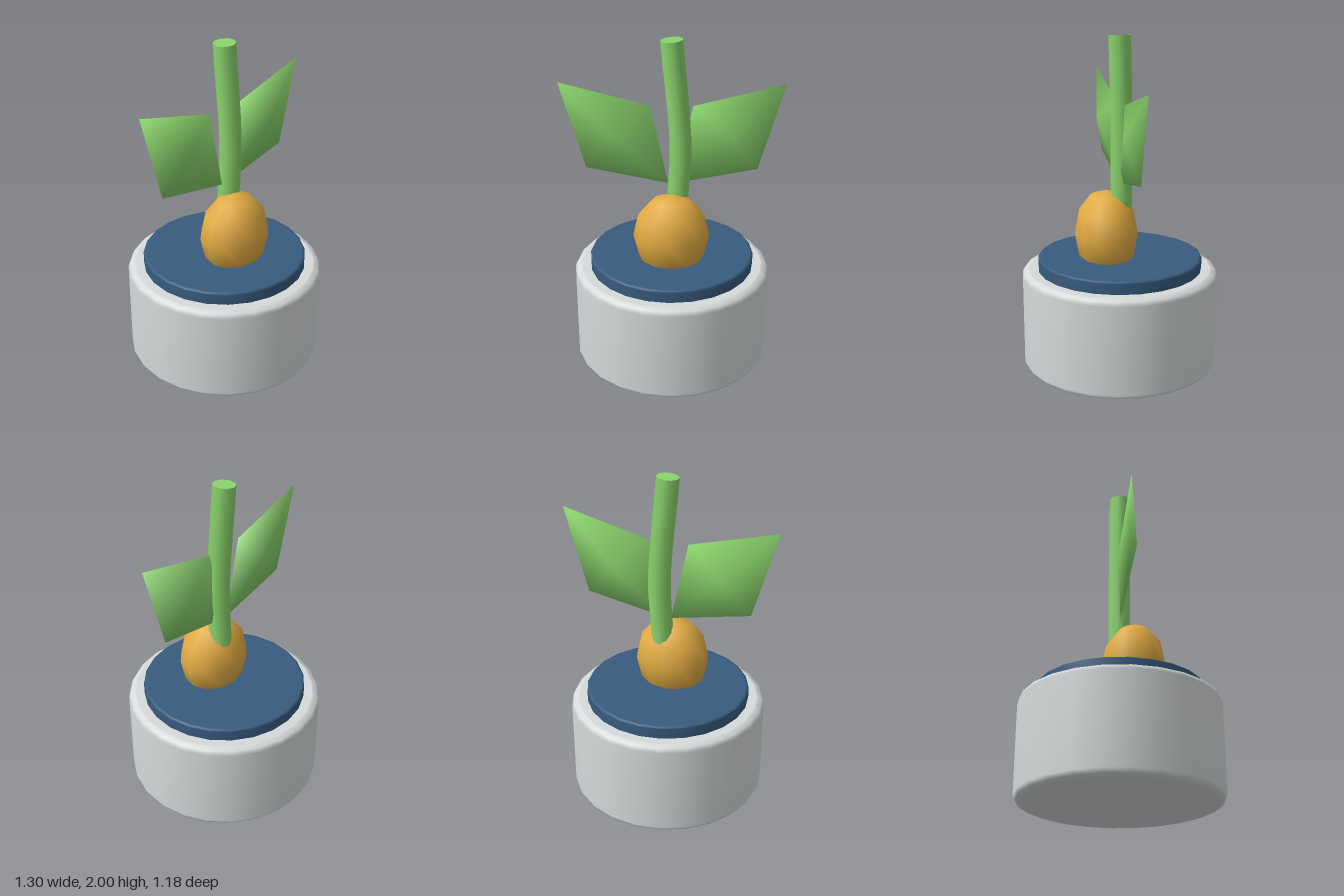
import * as THREE from 'three';

const mat = (name, color, side = THREE.FrontSide) => {
  const m = new THREE.MeshStandardMaterial({ color, side });
  m.name = name;
  return m;
};

// Turned disc with bevelled rims; repeated points keep the flat ends crisp
function bevelledDisc(radius, y0, y1, bevel) {
  const b = bevel * 0.85;
  const profile = [
    [0, y0], [radius - bevel, y0], [radius - bevel, y0],
    [radius - bevel * 0.3, y0 + b * 0.3], [radius, y0 + b],
    [radius, y1 - b], [radius - bevel * 0.3, y1 - b * 0.3],
    [radius - bevel, y1], [radius - bevel, y1], [0, y1],
  ].map(([x, y]) => new THREE.Vector2(x, y));
  return new THREE.LatheGeometry(profile, 24);
}

// Capped cylinder bent along a curve lying in the xy plane
function bentStem(radius, points) {
  const curve = new THREE.CatmullRomCurve3(points.map(([x, y]) => new THREE.Vector3(x, y, 0)));
  const geo = new THREE.CylinderGeometry(radius, radius, 1, 10, 8);
  const pos = geo.attributes.position;
  for (let i = 0; i < pos.count; i++) {
    const t = THREE.MathUtils.clamp(pos.getY(i) + 0.5, 0, 1);
    const p = curve.getPointAt(t);
    const d = curve.getTangentAt(t);
    const x = pos.getX(i);
    pos.setXY(i, p.x + d.y * x, p.y - d.x * x);
  }
  return geo;
}

// Four-cornered leaf with a raised point on the front and back
function leaf(side) {
  const corners = [[0.02, 1.13, 0], [0.503, 1.225, 0], [0.648, 1.745, 0], [0.123, 1.61, 0]];
  const peaks = [[0.35, 1.46, 0.064], [0.33, 1.42, -0.042]];
  const verts = [...corners, ...peaks].flatMap(([x, y, z]) => [x * side, y, z]);
  const index = [];
  for (let i = 0; i < 4; i++) {
    const a = side > 0 ? i : (i + 1) % 4;
    const b = side > 0 ? (i + 1) % 4 : i;
    index.push(a, b, 4, b, a, 5);
  }
  const geo = new THREE.BufferGeometry();
  geo.setAttribute('position', new THREE.Float32BufferAttribute(verts, 3));
  geo.setIndex(index);
  geo.computeVertexNormals();
  return geo;
}

export function createModel() {
  const group = new THREE.Group();
  group.name = 'pottedSprout';
  const white = mat('potWhite', 0xd6dada);
  const blue = mat('discBlue', 0x385b7e);
  const amber = mat('bulbAmber', 0xe2ab42);
  const green = mat('leafGreen', 0x8ad36c);

  const add = (name, geo, material) => {
    const mesh = new THREE.Mesh(geo, material);
    mesh.name = name;
    group.add(mesh);
    return mesh;
  };

  // Pot and the raised disc on top
  add('pot', bevelledDisc(0.592, 0, 0.605, 0.042), white);
  add('topDisc', bevelledDisc(0.495, 0.58, 0.68, 0.014), blue);

  // Bulb set slightly forward
  const bulb = add('bulb', new THREE.SphereGeometry(1, 12, 6), amber);
  bulb.scale.set(0.227, 0.262, 0.192);
  bulb.position.set(0, 0.828, 0.083);

  // Stem rising from the bulb
  add('stem', bentStem(0.066, [[0.02, 0.86], [0.037, 1.06], [0.053, 1.36], [0, 1.994]]), green);

  // Mirrored pair of leaves
  add('leftLeaf', leaf(1), green);
  add('rightLeaf', leaf(-1), green);

  return group;
}
